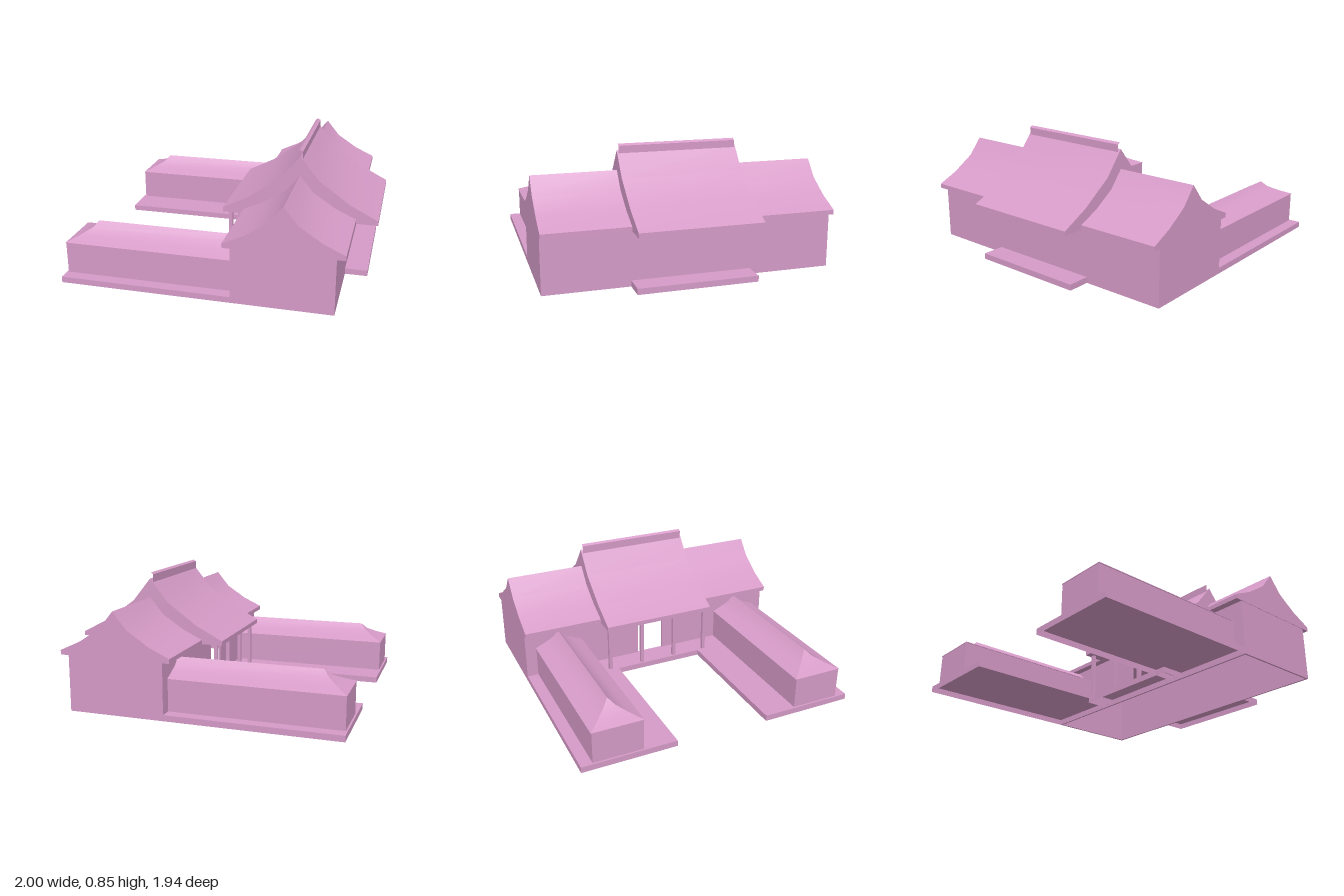
import * as THREE from 'three';
import { toCreasedNormals } from 'three/addons/utils/BufferGeometryUtils.js';

const material = new THREE.MeshStandardMaterial({ color: 0xd69bc8, side: THREE.DoubleSide });

function add(parent, name, geometry) {
  const mesh = new THREE.Mesh(geometry, material);
  mesh.name = name;
  parent.add(mesh);
  return mesh;
}

// Box given by its limits; an open one has no bottom face
function box(parent, name, x0, x1, y0, y1, z0, z1, open = false) {
  const g = new THREE.BoxGeometry(x1 - x0, y1 - y0, z1 - z0);
  if (open) {
    const index = Array.from(g.index.array);
    index.splice(18, 6);
    g.setIndex(index);
    g.clearGroups();
  }
  g.translate((x0 + x1) / 2, (y0 + y1) / 2, (z0 + z1) / 2);
  return add(parent, name, g);
}

// Sweeping gable roof: half profile of [distance from ridge, height], mirrored about x = 0.475
function gableRoof(parent, name, half, z0, z1) {
  const eave = 0.375, ridgeX = 0.475;
  const left = half.map(([d, y]) => new THREE.Vector2(ridgeX - d, y));
  const right = half.slice(0, -1).reverse().map(([d, y]) => new THREE.Vector2(ridgeX + d, y));
  const end = half[0][0];
  const shape = new THREE.Shape([
    new THREE.Vector2(ridgeX - end, eave), ...left, ...right, new THREE.Vector2(ridgeX + end, eave),
  ]);
  const g = new THREE.ExtrudeGeometry(shape, { depth: z1 - z0, bevelEnabled: false });
  g.translate(0, 0, z0);
  return add(parent, name, toCreasedNormals(g, 0.35));
}

// Concave roof hipped at its outer end, running into the hall at the other
function hippedRoof(parent, name, x0, x1, zMid, halfWidth, profile) {
  const pos = [];
  const quad = (a, b, c, d) => pos.push(...a, ...b, ...c, ...a, ...c, ...d);
  for (let i = 0; i < profile.length - 1; i++) {
    const [d0, y0] = profile[i], [d1, y1] = profile[i + 1];
    const w0 = halfWidth - d0, w1 = halfWidth - d1;
    const p = (x, y, w) => [x, y, zMid + w];
    quad(p(x0 + d0, y0, w0), p(x1, y0, w0), p(x1, y1, w1), p(x0 + d1, y1, w1));
    quad(p(x1, y0, -w0), p(x0 + d0, y0, -w0), p(x0 + d1, y1, -w1), p(x1, y1, -w1));
    quad(p(x0 + d0, y0, -w0), p(x0 + d0, y0, w0), p(x0 + d1, y1, w1), p(x0 + d1, y1, -w1));
  }
  const g = new THREE.BufferGeometry();
  g.setAttribute('position', new THREE.Float32BufferAttribute(pos, 3));
  g.computeVertexNormals();
  return add(parent, name, toCreasedNormals(g, 0.5));
}

export function createModel() {
  const model = new THREE.Group();
  model.name = 'courtyardHall';
  const t = 0.012;

  // Main hall walls
  const hall = new THREE.Group();
  hall.name = 'mainHall';
  model.add(hall);
  box(hall, 'rearWall', 0.8 - t, 0.8, 0, 0.38, -0.965, 0.965);
  for (const s of [-1, 1]) {
    const span = (a, b) => (s > 0 ? [a, b] : [-b, -a]);
    box(hall, 'gableWall', 0.145, 0.8, 0, 0.38, ...span(0.965 - t, 0.965));
    box(hall, 'sideFrontWall', 0.145, 0.145 + t, 0, 0.38, ...span(0.4, 0.965));
  }

  // Recessed facade with a central doorway
  const facade = new THREE.Shape([[-0.4, 0], [0.4, 0], [0.4, 0.38], [-0.4, 0.38]]
    .map(([x, y]) => new THREE.Vector2(x, y)));
  facade.holes.push(new THREE.Path([[-0.1, 0.04], [-0.1, 0.3], [0.1, 0.3], [0.1, 0.04]]
    .map(([x, y]) => new THREE.Vector2(x, y))));
  const facadeGeometry = new THREE.ExtrudeGeometry(facade, { depth: t, bevelEnabled: false });
  facadeGeometry.rotateY(Math.PI / 2).translate(0.145, 0, 0);
  add(hall, 'facade', facadeGeometry);

  // Porch floor, columns and rear terrace
  box(hall, 'porchFloor', -0.02, 0.145, 0, 0.04, -0.4, 0.4, true);
  box(hall, 'rearTerrace', 0.8, 0.95, 0, 0.04, -0.4, 0.4, true);
  for (const z of [-0.38, -0.13, 0.13, 0.38]) {
    box(hall, 'porchColumn', -0.01, 0.015, 0.04, 0.38, z - 0.012, z + 0.012);
  }

  // Roofs: taller centre, lower sides
  gableRoof(hall, 'centreRoof', [[0.525, 0.405], [0.34, 0.5], [0.13, 0.65], [0, 0.81]], -0.41, 0.405);
  const sideProfile = [[0.38, 0.405], [0.24, 0.47], [0.095, 0.565], [0, 0.68]];
  gableRoof(hall, 'sideRoof', sideProfile, 0.405, 0.968);
  gableRoof(hall, 'sideRoof', sideProfile, -0.968, -0.41);

  // Ridge cap, a strip folded over the ridge with open ends
  const cap = [[0.455, 0.78], [0.455, 0.84], [0.472, 0.852], [0.49, 0.84], [0.49, 0.78]];
  const capPos = [];
  for (let i = 0; i < cap.length - 1; i++) {
    const [a, b] = [cap[i], cap[i + 1]];
    const [z0, z1] = [-0.4, 0.397];
    capPos.push(...a, z0, ...a, z1, ...b, z1, ...a, z0, ...b, z1, ...b, z0);
  }
  const capGeometry = new THREE.BufferGeometry();
  capGeometry.setAttribute('position', new THREE.Float32BufferAttribute(capPos, 3));
  capGeometry.computeVertexNormals();
  const ridgeCap = add(hall, 'ridgeCap', capGeometry);
  ridgeCap.material = material.clone();
  ridgeCap.material.side = THREE.FrontSide;

  // Two long wings on plinths beside the courtyard
  for (const s of [-1, 1]) {
    const wing = new THREE.Group();
    wing.name = s > 0 ? 'frontWing' : 'backWing';
    model.add(wing);
    const plinth = s > 0 ? [0.325, 0.965] : [-0.965, -0.325];
    box(wing, 'plinth', -1, 0.145, 0, 0.04, ...plinth, true);
    const z = s * 0.718;
    box(wing, 'wingWalls', -0.988, 0.145, 0.04, 0.25, z - 0.168, z + 0.168, true);
    hippedRoof(wing, 'wingRoof', -0.99, 0.145, z, 0.172,
      [[0, 0.25], [0, 0.255], [0.07, 0.285], [0.135, 0.32], [0.172, 0.36]]);
  }
  return model;
}
